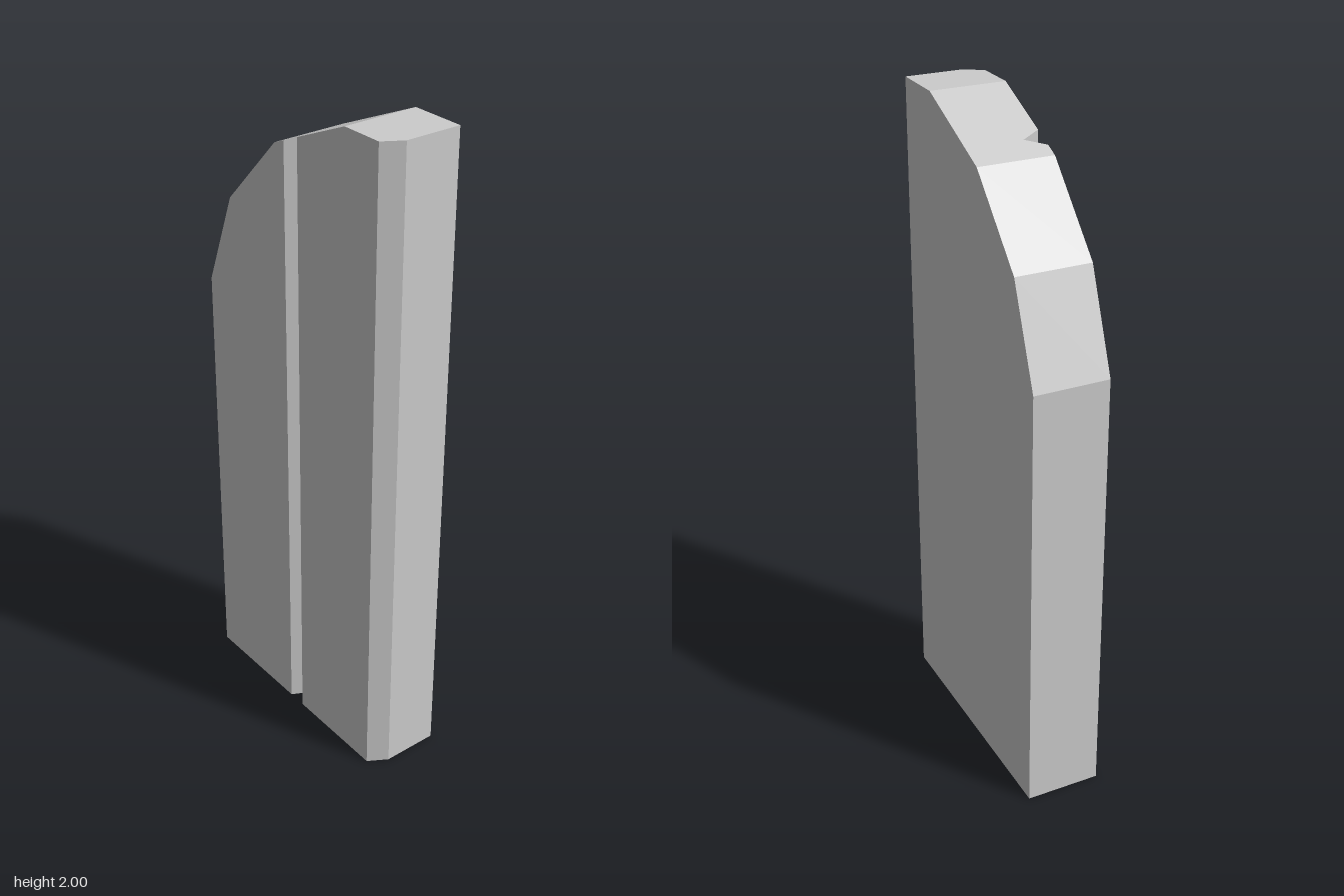
import * as THREE from 'three';

const BACK = -0.115, FRONT = 0.115, GROOVE = 0.057;

// Faceted arch: height of the top edge at each break in x
const ARCH = [[-0.397, 1.355], [-0.285, 1.645], [-0.067, 1.872], [0.228, 2], [0.395, 2]];

// Front face in plan: x and z, with the V groove and the chamfered edge
const PLAN = [
  [-0.397, FRONT], [-0.285, FRONT], [-0.067, FRONT],
  [-0.027, FRONT], [0.003, GROOVE], [0.032, FRONT],
  [0.228, FRONT], [0.36, FRONT], [0.395, GROOVE],
];

function archHeight(x) {
  const i = Math.max(1, ARCH.findIndex(([ax]) => ax >= x));
  const [x0, y0] = ARCH[i - 1], [x1, y1] = ARCH[i];
  return y0 + (y1 - y0) * (x - x0) / (x1 - x0);
}

// Closed solid from cross-sections placed along x
function boardGeometry() {
  const positions = [];
  const quad = (a, b, c, d) => positions.push(...a, ...b, ...c, ...a, ...c, ...d);
  const sections = PLAN.map(([x, z]) => {
    const y = archHeight(x);
    return [[x, 0, BACK], [x, 0, z], [x, y, z], [x, y, BACK]];
  });
  for (let i = 1; i < sections.length; i++) {
    const p = sections[i - 1], q = sections[i];
    for (let k = 0; k < 4; k++) {
      const n = (k + 1) % 4;
      quad(p[k], q[k], q[n], p[n]);
    }
  }
  // End faces
  const first = sections[0], last = sections[sections.length - 1];
  quad(...first);
  quad(...[...last].reverse());

  const geometry = new THREE.BufferGeometry();
  geometry.setAttribute('position', new THREE.Float32BufferAttribute(positions, 3));
  geometry.computeVertexNormals();
  return geometry;
}

export function createModel() {
  const group = new THREE.Group();
  group.name = 'archedBoard';
  const material = new THREE.MeshStandardMaterial({ color: 0xcccccc, flatShading: true });
  const board = new THREE.Mesh(boardGeometry(), material);
  board.name = 'groovedPanel';
  group.add(board);
  return group;
}
